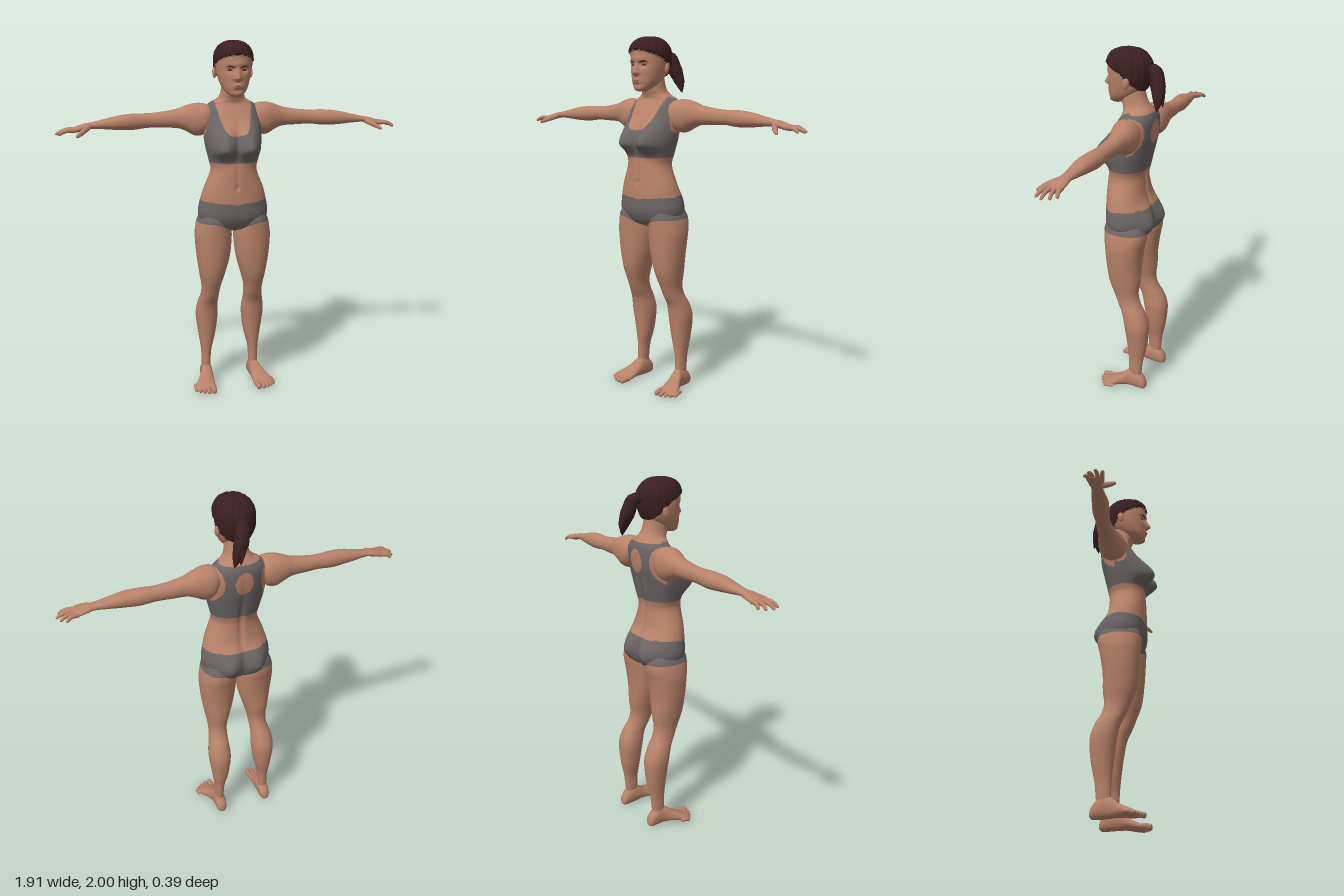
import * as THREE from 'three';

const mat = (name, color) => Object.assign(new THREE.MeshStandardMaterial({ color }), { name });
const skin = mat('skin', 0xb98269);
const cloth = mat('grey cloth', 0x6c6565);
const hair = mat('dark hair', 0x3b1f21);
const lip = mat('lips', 0x9a6253);
const eye = mat('eyes', 0x4a3029);

const bell = (d, s) => Math.exp(-(d * d) / (s * s));
const power = (v, e) => Math.sign(v) * Math.abs(v) ** e;
const spline = (a, b, c, d, t) =>
  b + 0.5 * t * (c - a + t * (2 * a - 5 * b + 4 * c - d + t * (3 * (b - c) + d - a)));

// Axis maps: station along the limb plus two cross-section coordinates
const alongY = (t, a, b) => [a, t, b];
const alongX = (t, a, b) => [t, a, b];
const alongZ = (t, a, b) => [a, b, t];

// Smooth loft through rows of [station, aMin, aMax, bMin, bMax]
function loft(rows, map, { deform, side = 1, seg = 40, steps = 8, e = 0.92 } = {}) {
  const pos = [], idx = [], v = new THREE.Vector3();
  const put = (t, a, b) => {
    v.set(...map(t, a, b));
    if (deform) deform(v);
    pos.push(v.x * side, v.y, v.z);
  };
  const n = (rows.length - 1) * steps, mids = [];
  for (let i = 0; i <= n; i++) {
    const k = Math.min(Math.floor(i / steps), rows.length - 2), t = i / steps - k;
    const row = (m) => rows[Math.max(0, Math.min(rows.length - 1, m))];
    const [s, a0, a1, b0, b1] = rows[0].map((_, c) =>
      spline(row(k - 1)[c], row(k)[c], row(k + 1)[c], row(k + 2)[c], t));
    const ac = (a0 + a1) / 2, bc = (b0 + b1) / 2;
    mids.push([s, ac, bc]);
    for (let j = 0; j < seg; j++) {
      const w = (j / seg) * Math.PI * 2;
      put(s, ac + ((a1 - a0) / 2) * power(Math.cos(w), e), bc + ((b1 - b0) / 2) * power(Math.sin(w), e));
    }
  }
  put(...mids[0]);
  put(...mids[n]);
  const base = (n + 1) * seg;
  for (let j = 0; j < seg; j++) {
    const q = (j + 1) % seg;
    for (let i = 0; i < n; i++) {
      const A = i * seg + j, B = i * seg + q;
      idx.push(A, A + seg, B, B, A + seg, B + seg);
    }
    idx.push(base, j, q, base + 1, n * seg + q, n * seg + j);
  }
  // Make the faces point outward
  const P = (i) => new THREE.Vector3().fromArray(pos, i * 3);
  const o = P(base);
  let volume = 0;
  for (let i = 0; i < idx.length; i += 3)
    volume += P(idx[i]).sub(o).dot(P(idx[i + 1]).sub(o).cross(P(idx[i + 2]).sub(o)));
  if (volume < 0) idx.reverse();
  const g = new THREE.BufferGeometry();
  g.setAttribute('position', new THREE.Float32BufferAttribute(pos, 3));
  g.setIndex(idx);
  g.computeVertexNormals();
  return g;
}

// Split faces into two colour groups by a rule on the face centre
function paint(g, rule) {
  const p = g.attributes.position, src = g.index.array, sets = [[], []];
  for (let i = 0; i < src.length; i += 3) {
    const f = [src[i], src[i + 1], src[i + 2]], c = new THREE.Vector3();
    f.forEach((k) => c.add(new THREE.Vector3().fromBufferAttribute(p, k)));
    sets[rule(c.divideScalar(3)) ? 1 : 0].push(...f);
  }
  g.setIndex([...sets[0], ...sets[1]]);
  g.addGroup(0, sets[0].length, 0);
  g.addGroup(sets[0].length, sets[1].length, 1);
  return g;
}

// Tapered tube with rounded ends
function taper(points, radii, side = 1, seg = 10) {
  const curve = new THREE.CatmullRomCurve3(points.map(([x, y, z]) => new THREE.Vector3(x * side, y, z)));
  const n = 20, g = new THREE.TubeGeometry(curve, n, 1, seg), p = g.attributes.position;
  const v = new THREE.Vector3();
  for (let i = 0; i <= n; i++) {
    const c = curve.getPointAt(i / n), u = (i / n) * (radii.length - 1);
    const k = Math.min(Math.floor(u), radii.length - 2);
    const end = Math.sqrt(Math.max(0.0001, 1 - Math.max(0, (i / n - 0.85) / 0.15) ** 2));
    const r = THREE.MathUtils.lerp(radii[k], radii[k + 1], u - k) * end;
    for (let j = 0; j <= seg; j++) {
      const m = i * (seg + 1) + j;
      v.fromBufferAttribute(p, m).sub(c).multiplyScalar(r).add(c);
      p.setXYZ(m, v.x, v.y, v.z);
    }
  }
  g.computeVertexNormals();
  return g;
}

// Garment outlines
const legLine = (x) => 0.965 + 0.045 * Math.min(1, Math.abs(x) / 0.12);
const inBriefs = (p) => p.y > legLine(p.x) && p.y < 1.125 + 0.08 * Math.abs(p.x) - 0.11 * Math.min(0.03, p.z);
function inTop(p) {
  const x = Math.abs(p.x), y = p.y;
  if (y < 1.35 || y > 1.685) return false;
  if (p.z > -0.03) {
    if (x < 0.1 && y > 1.5 + 0.17 * (x / 0.1) ** 4) return false;
    return !(y > 1.45 && x > 0.158 - 0.15 * (y - 1.5));
  }
  if ((x / 0.05) ** 2 + ((y - 1.57) / 0.065) ** 2 < 1 || y > 1.672) return false;
  return !(y > 1.44 && x > 0.1 + 4 * (y - 1.57) ** 2);
}
const inHair = (p) => p.y > (p.z > 0.03 ? 1.88 + (p.z - 0.03) * 0.42 : Math.max(1.785, 1.88 + (p.z - 0.03)));

// Bust, buttocks, navel and muscle grooves
function shapeTorso(p) {
  const x = Math.abs(p.x), y = p.y;
  if (p.z > 0) {
    const f = Math.min(1, p.z / 0.06);
    p.z += f * 0.085 * bell(x - 0.075, 0.07) * bell(y - 1.43, y < 1.43 ? 0.05 : 0.095);
    p.z -= f * 0.006 * bell(x, 0.012) * bell(y - 1.27, 0.07);
    p.z -= f * 0.012 * bell(x, 0.008) * bell(y - 1.215, 0.012);
  } else {
    const f = Math.min(1, -p.z / 0.06);
    p.z -= f * 0.045 * bell(x - 0.085, 0.065) * bell(y - 1.05, 0.08);
    p.z += f * 0.012 * bell(x, 0.016) * bell(y - 1.3, 0.22);
  }
}

// Nose, eye sockets, lips, chin and raised hair
function shapeHead(p) {
  const x = Math.abs(p.x), y = p.y;
  if (p.z > 0.06) {
    const ramp = THREE.MathUtils.clamp((1.865 - y) / 0.055, 0, 1) * THREE.MathUtils.clamp((y - 1.785) / 0.018, 0, 1);
    p.z += 0.03 * ramp * bell(x, 0.009 + 0.009 * ramp);
    p.z -= 0.013 * bell(x - 0.038, 0.022) * bell(y - 1.848, 0.016);
    p.z += 0.006 * bell(x, 0.05) * bell(y - 1.877, 0.014);
    p.z += 0.008 * bell(x, 0.022) * bell(y - 1.765, 0.014);
    p.z -= 0.005 * bell(x, 0.03) * bell(y - 1.742, 0.009);
  }
  if (inHair(p)) {
    const d = new THREE.Vector3(p.x, p.y - 1.87, p.z - 0.02).normalize();
    p.addScaledVector(d, 0.012 + 0.0015 * Math.sin(Math.atan2(p.x, p.z) * 18));
  }
}

const sym = (rows) => rows.map(([y, w, back, front]) => [y, -w, w, back, front]);

export function createModel() {
  const model = new THREE.Group();
  const add = (name, geo, m) => {
    const mesh = new THREE.Mesh(geo, m);
    mesh.name = name;
    model.add(mesh);
    return mesh;
  };
  const ball = (name, m, p, s) => {
    const b = add(name, new THREE.SphereGeometry(1, 16, 12), m);
    b.position.set(...p);
    b.scale.set(...s);
    return b;
  };

  // Torso and neck with top and briefs
  const torso = loft(sym([
    [0.955, 0.03, -0.05, 0.05], [0.98, 0.13, -0.1, 0.1], [1.02, 0.185, -0.115, 0.125],
    [1.06, 0.198, -0.12, 0.135], [1.12, 0.19, -0.115, 0.136], [1.2, 0.168, -0.088, 0.135],
    [1.3, 0.13, -0.078, 0.132], [1.36, 0.138, -0.088, 0.125], [1.44, 0.155, -0.105, 0.118],
    [1.52, 0.163, -0.123, 0.108], [1.58, 0.162, -0.13, 0.085], [1.63, 0.15, -0.13, 0.062],
    [1.665, 0.122, -0.12, 0.045], [1.69, 0.08, -0.105, 0.05], [1.715, 0.065, -0.085, 0.06],
    [1.75, 0.06, -0.07, 0.063], [1.8, 0.056, -0.06, 0.06],
  ]), alongY, { deform: shapeTorso, seg: 128, steps: 10 });
  add('torso', paint(torso, (p) => inTop(p) || inBriefs(p)), [skin, cloth]);

  // Head with hair cap
  const head = loft(sym([
    [1.708, 0.022, 0.07, 0.12], [1.72, 0.042, 0.04, 0.132], [1.75, 0.066, -0.015, 0.136],
    [1.79, 0.082, -0.06, 0.137], [1.83, 0.091, -0.08, 0.139], [1.87, 0.095, -0.09, 0.139],
    [1.92, 0.094, -0.09, 0.138], [1.955, 0.08, -0.068, 0.123], [1.976, 0.056, -0.042, 0.097],
    [1.986, 0.03, -0.012, 0.06], [1.988, 0.004, 0.018, 0.026],
  ]), alongY, { deform: shapeHead, seg: 112, steps: 9 });
  add('head', paint(head, inHair), [skin, hair]);
  add('mouth', taper([[-0.024, 1.764, 0.134], [0, 1.766, 0.1425], [0.024, 1.764, 0.134]], [0.001, 0.005, 0.001]), lip);

  // Ponytail strands and tie
  add('ponytail', taper([[0, 1.89, -0.085], [0.012, 1.895, -0.13], [0.03, 1.83, -0.152], [0.055, 1.76, -0.165],
    [0.075, 1.695, -0.165]], [0.024, 0.036, 0.04, 0.028, 0.004], 1, 14), hair);
  add('ponytailStrand', taper([[0.01, 1.88, -0.13], [0.03, 1.8, -0.172], [0.05, 1.715, -0.19]], [0.02, 0.022, 0.003]), hair);

  for (const side of [1, -1]) {
    const label = side > 0 ? 'left' : 'right';

    // Face details
    ball(label + 'Ear', skin, [side * 0.1, 1.832, -0.002], [0.011, 0.032, 0.019]).rotation.set(-0.2, side * 0.3, 0);
    ball(label + 'Eye', eye, [side * 0.038, 1.848, 0.1185], [0.015, 0.005, 0.005]).rotation.y = side * 0.4;
    add(label + 'Brow', taper([[0.015, 1.861, 0.137], [0.04, 1.869, 0.129], [0.064, 1.866, 0.112]],
      [0.003, 0.004, 0.001], side), hair);

    // Arm and palm
    add(label + 'Arm', loft([
      [0.115, 1.56, 1.645, -0.09, 0.02], [0.15, 1.5, 1.663, -0.112, 0.04], [0.2, 1.487, 1.666, -0.115, 0.035],
      [0.25, 1.512, 1.654, -0.11, 0.016], [0.3, 1.53, 1.636, -0.1, 0], [0.38, 1.534, 1.622, -0.095, -0.008],
      [0.46, 1.536, 1.615, -0.09, -0.01], [0.54, 1.528, 1.615, -0.09, 0.002], [0.62, 1.53, 1.607, -0.08, 0.01],
      [0.7, 1.537, 1.59, -0.068, 0.004], [0.765, 1.541, 1.576, -0.057, 0.002], [0.8, 1.535, 1.571, -0.06, 0.015],
      [0.84, 1.526, 1.559, -0.06, 0.024], [0.87, 1.524, 1.549, -0.054, 0.022], [0.88, 1.53, 1.542, -0.04, 0.01],
    ], alongX, { side }), skin);

    // Fingers fan out, thumb points forward
    [[-0.05, 0.915, -0.066], [-0.027, 0.943, -0.042], [-0.003, 0.957, -0.004], [0.016, 0.94, 0.034]].forEach(([z, x, tip], i) =>
      add(label + 'Finger' + (i + 1), taper([[0.85, 1.54, z], [(0.85 + x) / 2 + 0.01, 1.537, (z + tip) / 2], [x, 1.517, tip]],
        [0.012, 0.011, 0.007], side), skin));
    add(label + 'Thumb', taper([[0.785, 1.55, 0], [0.815, 1.532, 0.045], [0.85, 1.51, 0.084]], [0.016, 0.014, 0.008], side), skin);

    // Leg with the lower edge of the briefs
    const leg = loft([
      [1.065, 0.06, 0.175, -0.1, 0.1], [1.02, 0.02, 0.2, -0.125, 0.117], [0.97, 0.01, 0.212, -0.125, 0.116],
      [0.91, 0.008, 0.216, -0.112, 0.112], [0.8, 0.02, 0.207, -0.097, 0.103], [0.7, 0.047, 0.192, -0.094, 0.088],
      [0.62, 0.069, 0.179, -0.086, 0.058], [0.56, 0.076, 0.18, -0.102, 0.033], [0.5, 0.077, 0.194, -0.135, 0.003],
      [0.42, 0.073, 0.202, -0.158, -0.014], [0.3, 0.088, 0.187, -0.15, -0.03], [0.2, 0.112, 0.173, -0.13, -0.04],
      [0.12, 0.118, 0.171, -0.121, -0.042], [0.05, 0.12, 0.168, -0.115, -0.04],
    ], alongY, { side, seg: 56, steps: 12 });
    add(label + 'Leg', paint(leg, inBriefs), [skin, cloth]);

    // Foot and toes
    add(label + 'Foot', loft([
      [-0.151, 0.135, 0.155, 0.015, 0.04], [-0.138, 0.118, 0.172, 0.002, 0.072], [-0.1, 0.112, 0.178, 0, 0.11],
      [-0.05, 0.112, 0.18, 0.003, 0.115], [0, 0.114, 0.203, 0.006, 0.077], [0.05, 0.115, 0.23, 0.001, 0.051],
      [0.083, 0.118, 0.234, 0, 0.035], [0.1, 0.13, 0.215, 0.006, 0.025],
    ], alongZ, { side }), skin);
    [[0.135, 0.136, 0.016], [0.164, 0.134, 0.012], [0.189, 0.124, 0.011], [0.212, 0.108, 0.011], [0.234, 0.088, 0.01]].forEach(([x, z, r], i) =>
      add(label + 'Toe' + (i + 1), taper([[x - 0.006, 0.022, z - 0.06], [x - 0.002, 0.021, z - 0.03], [x, r, z]],
        [r, r, r * 0.9], side), skin));
  }
  return model;
}
